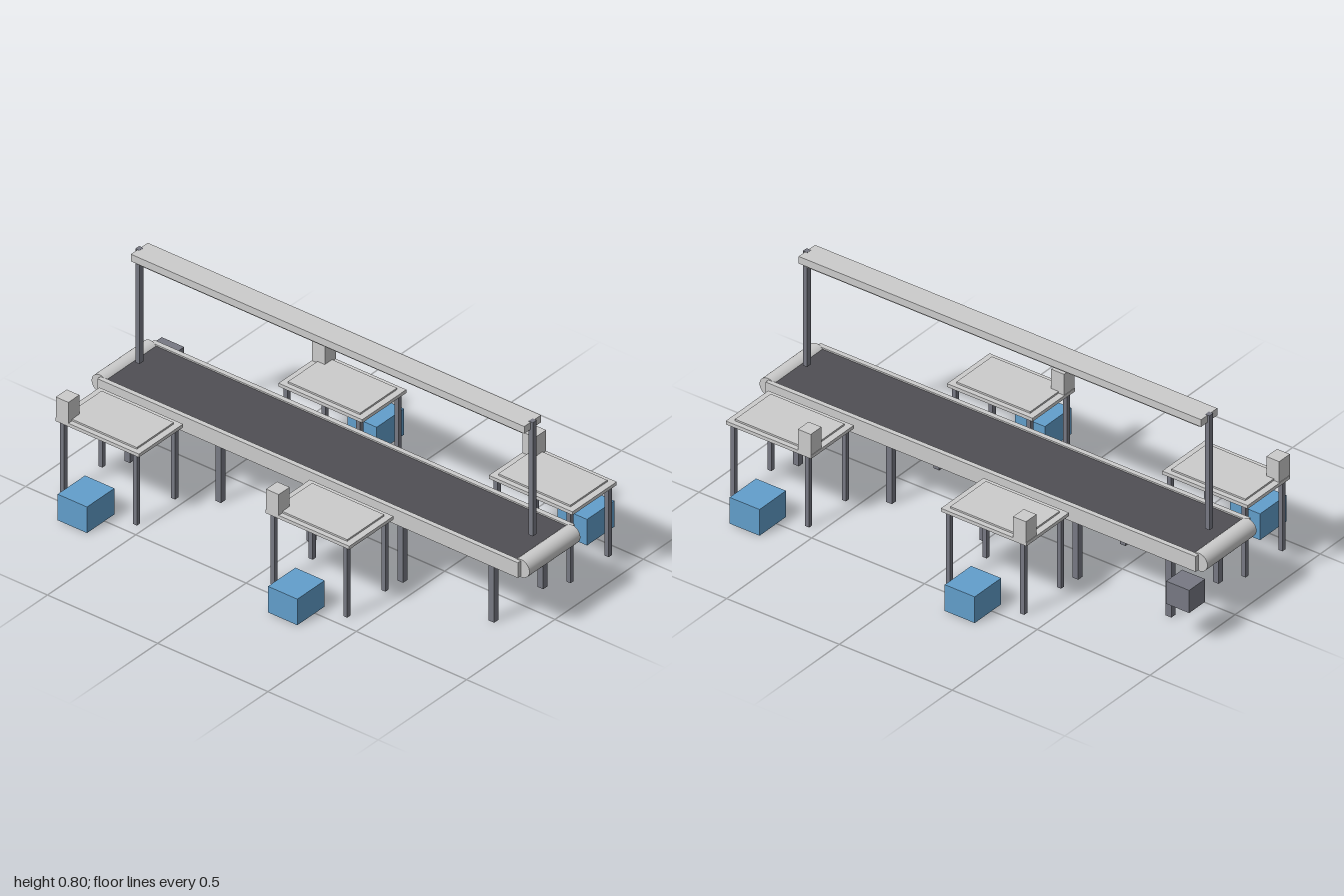
import * as THREE from 'three';

const steel = new THREE.MeshStandardMaterial({ color: 0xcccccc });
const dark = new THREE.MeshStandardMaterial({ color: 0x777983 });
const rubber = new THREE.MeshStandardMaterial({ color: 0x504f54 });
const blue = new THREE.MeshStandardMaterial({ color: 0x629ecb });

const ZC = 0.007; // middle of the line along z

// Box placed by its centre in x and z, and by its bottom and top in y
function box(parent, name, mat, w, d, y0, y1, x, z) {
  const mesh = new THREE.Mesh(new THREE.BoxGeometry(w, y1 - y0, d), mat);
  mesh.position.set(x, (y0 + y1) / 2, z);
  mesh.name = name;
  parent.add(mesh);
  return mesh;
}

function makeConveyor() {
  const g = new THREE.Group();
  g.name = 'conveyor';
  box(g, 'belt', rubber, 0.286, 1.9, 0.28, 0.299, 0, 0);
  for (const s of [-1, 1]) {
    box(g, 'sideRail', steel, 0.02, 1.907, 0.241, 0.305, s * 0.151, 0);
    const roller = new THREE.Mesh(new THREE.CylinderGeometry(0.037, 0.037, 0.288, 32), steel);
    roller.rotation.z = Math.PI / 2;
    roller.position.set(0, 0.274, s * 0.956);
    roller.name = 'endRoller';
    g.add(roller);
    for (let i = -2; i <= 2; i++) {
      box(g, 'conveyorLeg', dark, 0.025, 0.025, 0, 0.241, s * 0.139, i * 0.413);
    }
  }
  return g;
}

function makeGantry() {
  const g = new THREE.Group();
  g.name = 'overheadGantry';
  box(g, 'beam', steel, 0.095, 1.784, 0.768, 0.798, 0, 0);
  box(g, 'lightStrip', steel, 0.076, 1.75, 0.758, 0.768, 0, 0);
  for (const s of [-1, 1]) box(g, 'post', dark, 0.022, 0.019, 0.319, 0.799, 0, s * 0.892);
  return g;
}

// Workstation; side is +1 or -1 and points away from the belt
function makeStation(side) {
  const g = new THREE.Group();
  g.name = 'workstation';
  box(g, 'tableTop', steel, 0.25, 0.379, 0.298, 0.312, 0, 0);
  box(g, 'workMat', steel, 0.209, 0.327, 0.312, 0.319, 0, 0);
  box(g, 'partsBin', steel, 0.062, 0.057, 0.312, 0.4, side * 0.094, -0.159);
  for (const sx of [-1, 1]) {
    for (const sz of [-1, 1]) {
      box(g, 'tableLeg', dark, 0.018, 0.018, 0, 0.298, sx * 0.108, sz * 0.165);
    }
  }
  box(g, 'stool', blue, 0.155, 0.133, 0, 0.11, side * 0.188, 0);
  return g;
}

export function createModel() {
  const model = new THREE.Group();
  model.name = 'assemblyLine';
  const line = new THREE.Group();
  line.name = 'line';
  line.position.z = ZC;
  model.add(line);
  line.add(makeConveyor(), makeGantry());

  // Four workstations, alternating sides
  for (let i = 0; i < 4; i++) {
    const side = i % 2 ? 1 : -1;
    const station = makeStation(side);
    station.position.set(side * 0.334, 0, (i - 1.5) * 0.477);
    line.add(station);
  }

  // Drive motor beside the rear roller
  box(model, 'driveMotor', dark, 0.094, 0.102, 0.144, 0.239, 0.223, -0.949);
  return model;
}
